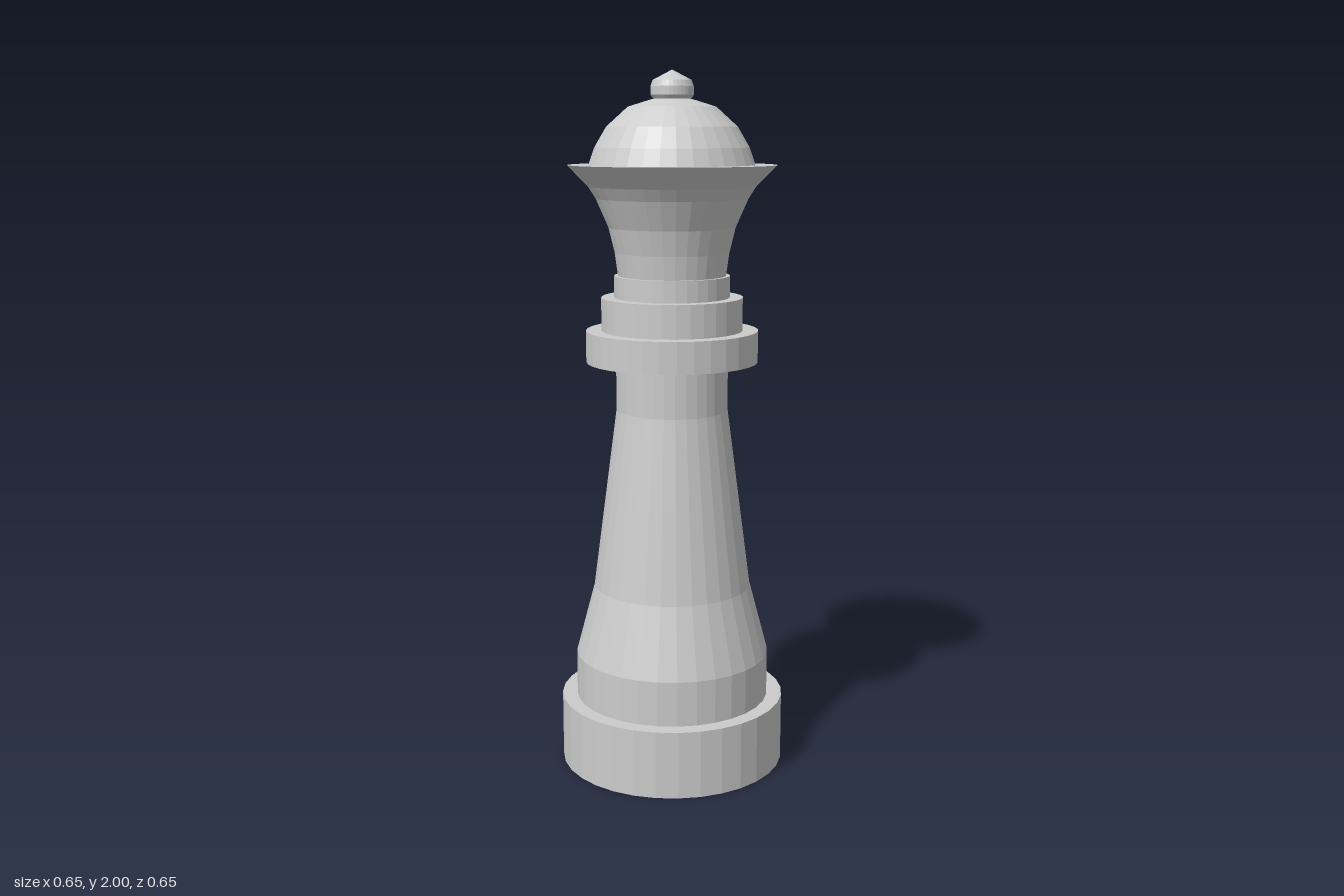
import * as THREE from 'three';

const SIDES = 32;
const material = new THREE.MeshStandardMaterial({ color: 0xcccccc, flatShading: true });

// Faceted turned part; the profile lists [radius, height] from bottom to top
function turned(name, profile) {
  const points = profile.map(([r, y]) => new THREE.Vector2(r, y));
  const mesh = new THREE.Mesh(new THREE.LatheGeometry(points, SIDES), material);
  mesh.name = name;
  return mesh;
}

// Closed straight disc
const disc = (name, r, y0, y1) => turned(name, [[0, y0], [r, y0], [r, y1], [0, y1]]);

export function createModel() {
  const group = new THREE.Group();
  group.name = 'chessQueen';

  group.add(
    disc('base', 0.326, 0, 0.196),

    // Tapering stem with a straight foot and neck
    turned('stem', [
      [0.282, 0.196], [0.282, 0.326], [0.228, 0.53],
      [0.194, 0.79], [0.16, 1.05], [0.16, 1.19],
    ]),

    // Stepped collar
    disc('lowerCollar', 0.245, 1.19, 1.28),
    disc('middleCollar', 0.201, 1.28, 1.374),
    disc('upperCollar', 0.164, 1.374, 1.435),

    // Flared crown with a flat rim
    turned('crown', [
      [0.153, 1.435], [0.162, 1.5], [0.179, 1.57],
      [0.214, 1.65], [0.235, 1.683], [0.293, 1.742], [0.233, 1.742],
    ]),

    // Domed cap
    turned('dome', [
      [0.233, 1.742], [0.216, 1.79], [0.183, 1.846],
      [0.123, 1.9], [0.055, 1.921],
    ]),

    // Pointed knob
    turned('finial', [
      [0.05, 1.918], [0.06, 1.932], [0.06, 1.955], [0.054, 1.972], [0, 2],
    ]),
  );
  return group;
}
